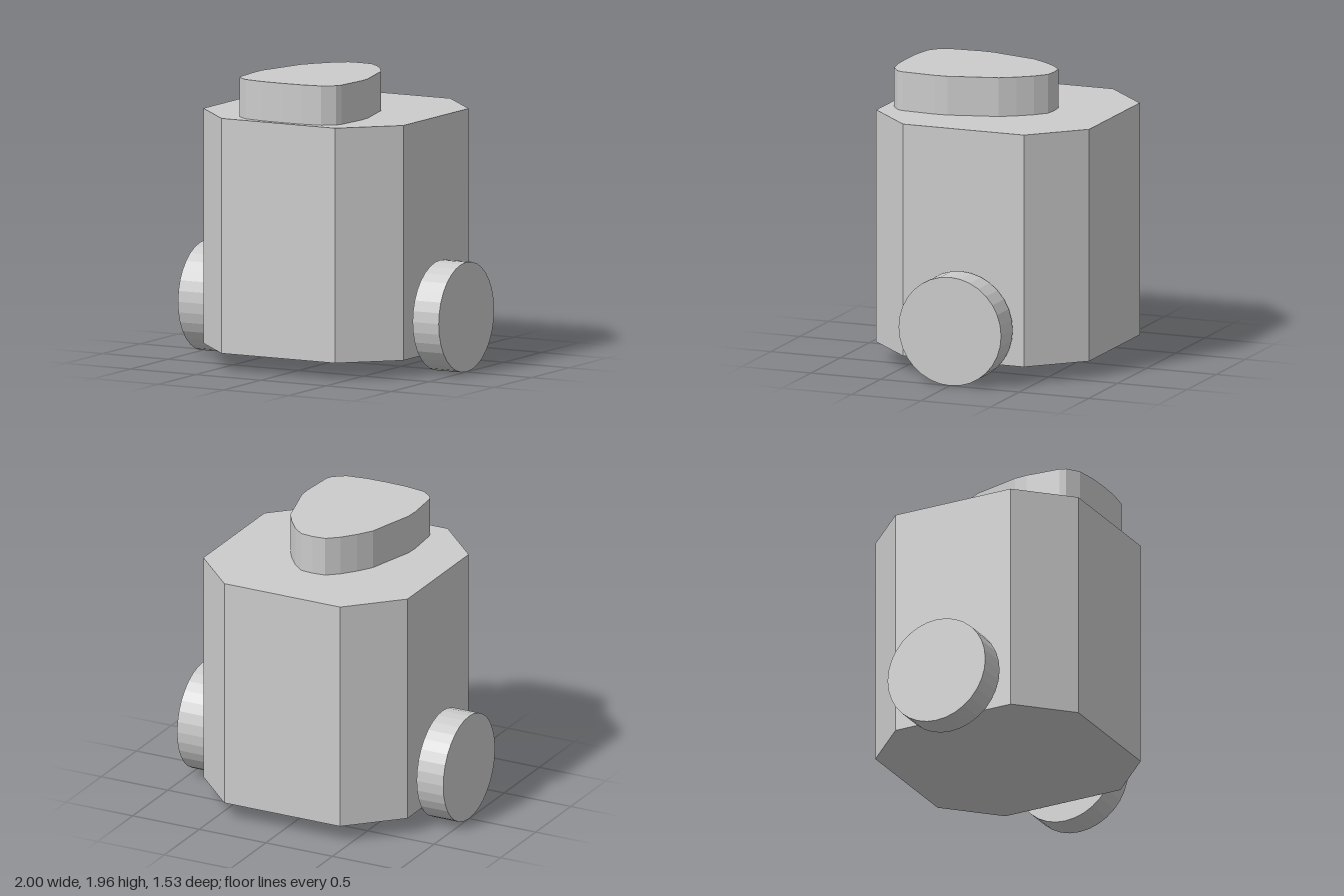
import * as THREE from 'three';

const material = new THREE.MeshStandardMaterial({ color: 0xcccccc, flatShading: true });

// Upright prism from a right-half outline of [x, z] points, listed back to front and mirrored in x
function prism(name, half, bottom, top) {
  const mirrored = half.filter(([x]) => x > 0).reverse().map(([x, z]) => [-x, z]);
  const outline = [...half, ...mirrored].map(([x, z]) => new THREE.Vector2(x, -z));
  const geometry = new THREE.ExtrudeGeometry(new THREE.Shape(outline), {
    depth: top - bottom,
    bevelEnabled: false,
  });
  geometry.rotateX(-Math.PI / 2);
  const mesh = new THREE.Mesh(geometry, material);
  mesh.name = name;
  mesh.position.y = bottom;
  return mesh;
}

export function createModel() {
  const group = new THREE.Group();
  group.name = 'wheeledBody';

  // Square body with chamfered corners
  const w = 0.767, c = 0.435;
  group.add(prism('body', [[c, -w], [w, -c], [w, c], [c, w]], 0.117, 1.696));

  // Rounded head: narrow at the back, wide and blunt at the front
  group.add(prism('head', [
    [0, -0.334], [0.09, -0.325], [0.17, -0.258], [0.245, -0.165], [0.31, -0.063],
    [0.35, 0.09], [0.4, 0.27], [0.405, 0.36], [0.387, 0.6], [0.37, 0.64],
    [0.29, 0.7], [0.15, 0.722], [0, 0.727],
  ], 1.696, 1.96));

  // One wheel on each side, set slightly off the body
  const radius = 0.369, width = 0.2;
  const wheelGeometry = new THREE.CylinderGeometry(radius, radius, width, 32).rotateZ(Math.PI / 2);
  for (const [name, side] of [['leftWheel', 1], ['rightWheel', -1]]) {
    const wheel = new THREE.Mesh(wheelGeometry, material);
    wheel.name = name;
    wheel.position.set(side * (1 - width / 2), radius, 0);
    group.add(wheel);
  }
  return group;
}
